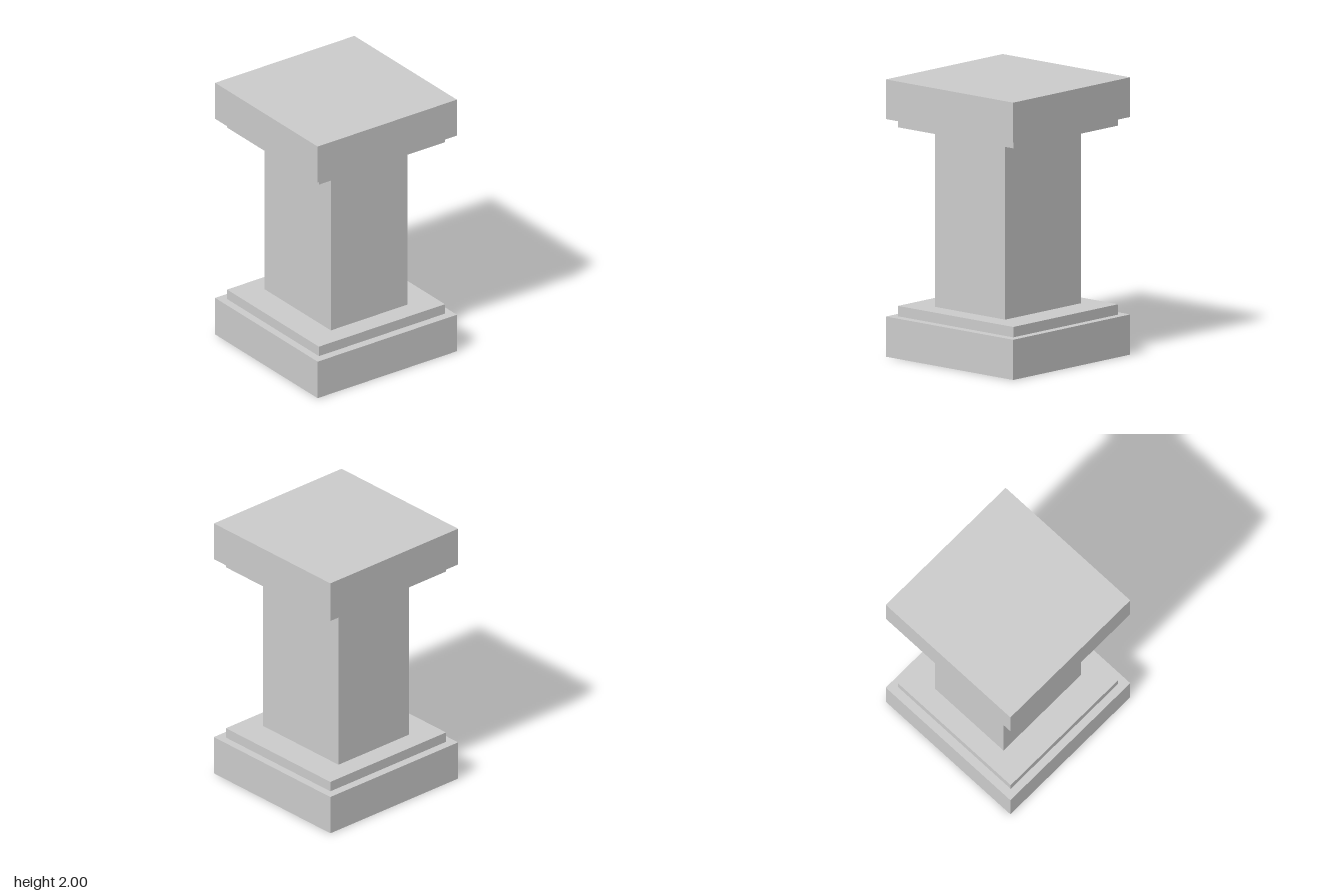
import * as THREE from 'three';

const material = new THREE.MeshStandardMaterial({ color: 0xcccccc, flatShading: true });

// Box spanning y0..y1, centred on the vertical axis
function slab(name, width, depth, y0, y1) {
  const mesh = new THREE.Mesh(new THREE.BoxGeometry(width, y1 - y0, depth), material);
  mesh.name = name;
  mesh.position.y = (y0 + y1) / 2;
  return mesh;
}

export function createModel() {
  const pedestal = new THREE.Group();
  pedestal.name = 'pedestal';
  pedestal.add(
    // Stepped base
    slab('basePlinth', 1.222, 1.222, 0, 0.29),
    slab('baseStep', 1.095, 1.106, 0.29, 0.365),
    // Rectangular shaft, wider than deep
    slab('shaft', 0.79, 0.672, 0.365, 1.653),
    // Stepped capital
    slab('capitalStep', 1.095, 1.106, 1.653, 1.714),
    slab('capitalSlab', 1.222, 1.222, 1.714, 2),
  );
  return pedestal;
}
